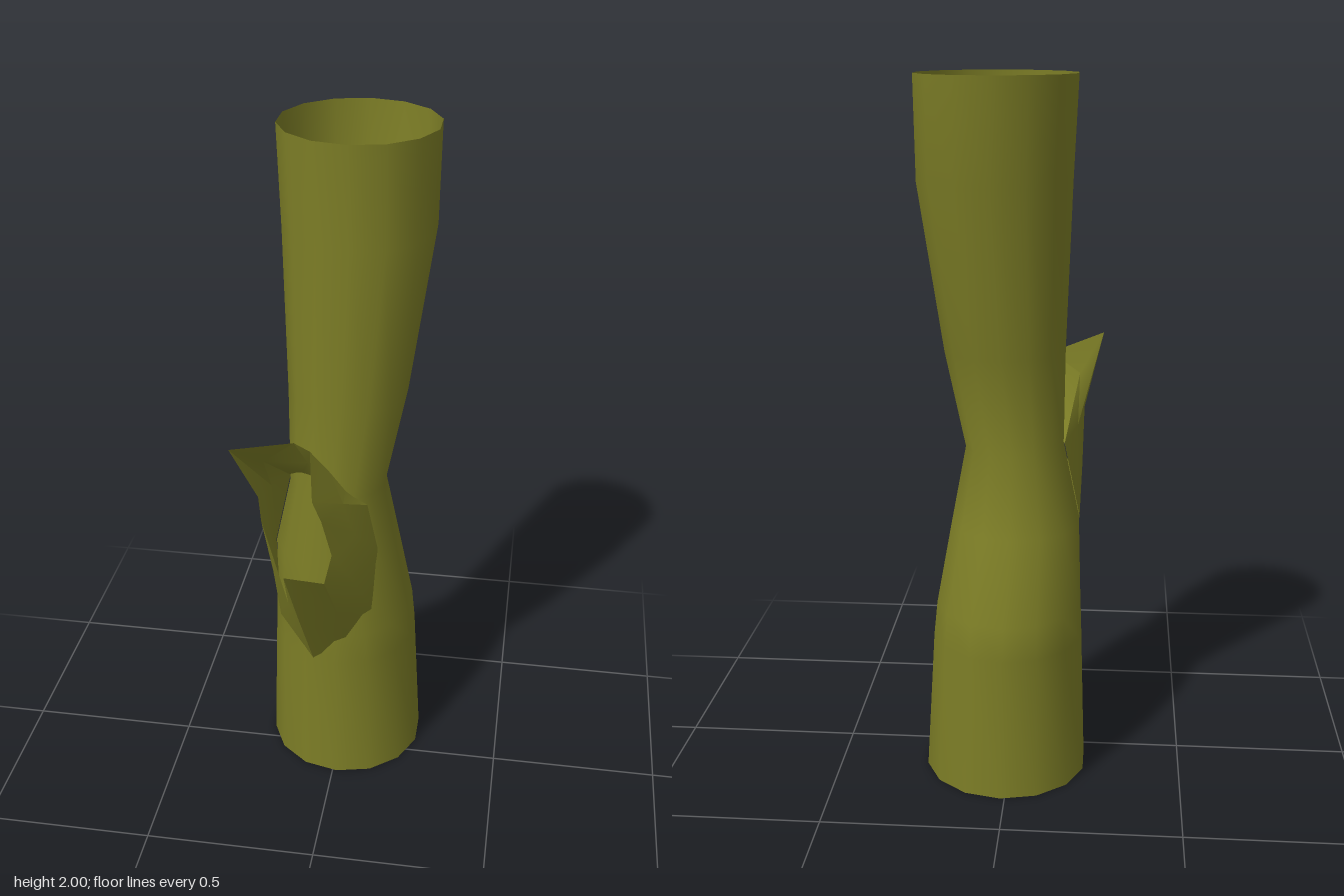
import * as THREE from 'three';
import { toCreasedNormals } from 'three/addons/utils/BufferGeometryUtils.js';

// Skin between closed loops of [x, y, z] points, counter-clockwise seen from the last loop
function loft(loops) {
  const n = loops[0].length;
  const index = [];
  for (let r = 0; r < loops.length - 1; r++) {
    for (let i = 0; i < n; i++) {
      const a = r * n + i;
      const b = r * n + (i + 1) % n;
      index.push(a, b, a + n, b, b + n, a + n);
    }
  }
  const geometry = new THREE.BufferGeometry();
  geometry.setAttribute('position', new THREE.Float32BufferAttribute(loops.flat(2), 3));
  geometry.setIndex(index);
  geometry.computeVertexNormals();
  return geometry;
}

// Oval ring from its bounds
function ring([y, x0, x1, z0, z1], sides = 14) {
  return Array.from({ length: sides }, (_, i) => {
    const a = ((i + 0.5) / sides) * Math.PI * 2;
    return [
      (x0 + x1) / 2 + Math.cos(a) * (x1 - x0) / 2 * 1.015,
      y,
      (z0 + z1) / 2 - Math.sin(a) * (z1 - z0) / 2 * 1.01,
    ];
  });
}

export function createModel() {
  const model = new THREE.Group();
  const bark = new THREE.MeshStandardMaterial({ color: 0x7c7d26, side: THREE.DoubleSide });
  bark.name = 'olive bark';

  // Hollow trunk, open at both ends: y, xMin, xMax, zMin, zMax
  const trunkRings = [
    [0, -0.22, 0.245, -0.34, 0.13],
    [0.42, -0.207, 0.22, -0.335, 0.125],
    [0.52, -0.203, 0.21, -0.33, 0.125],
    [0.75, -0.195, 0.17, -0.26, 0.115],
    [0.97, -0.148, 0.13, -0.187, 0.082],
    [1.25, -0.152, 0.185, -0.228, 0.085],
    [1.72, -0.17, 0.248, -0.318, 0.083],
    [2, -0.183, 0.25, -0.345, 0.082],
  ];
  const trunk = new THREE.Mesh(loft(trunkRings.map((r) => ring(r))), bark);
  trunk.name = 'trunk';
  model.add(trunk);

  // Broken hollow branch: each pair runs from the trunk to the jagged rim
  const ribs = [
    [[-0.06, 0.43, 0.12], [-0.1, 0.87, 0.345]],
    [[0.04, 0.5, 0.11], [0, 0.81, 0.27]],
    [[0.11, 0.6, 0.08], [0.015, 0.88, 0.23]],
    [[0.13, 0.78, 0.03], [-0.01, 1, 0.25]],
    [[0.09, 0.94, 0.045], [-0.03, 1.08, 0.28]],
    [[0.03, 1, 0.075], [-0.055, 1.17, 0.165]],
    [[-0.04, 1.03, 0.08], [-0.1, 1.19, 0.16]],
    [[-0.1, 1.03, 0.045], [-0.253, 1.225, 0.285]],
    [[-0.15, 0.97, -0.04], [-0.2, 1.02, 0.18]],
    [[-0.195, 0.75, -0.03], [-0.18, 0.98, 0.24]],
    [[-0.17, 0.53, 0.05], [-0.115, 0.69, 0.21]],
  ];
  // The middle loop swells slightly so the stump keeps its girth
  const middle = ribs.map(([p, q]) => {
    const m = p.map((v, k) => (v + q[k]) / 2);
    return [m[0] + (m[0] + 0.06) * 0.08, m[1], m[2]];
  });
  const branchGeometry = loft([ribs.map((r) => r[0]), middle, ribs.map((r) => r[1])]);
  const branch = new THREE.Mesh(toCreasedNormals(branchGeometry, 0.7), bark);
  branch.name = 'brokenBranch';
  model.add(branch);

  return model;
}
